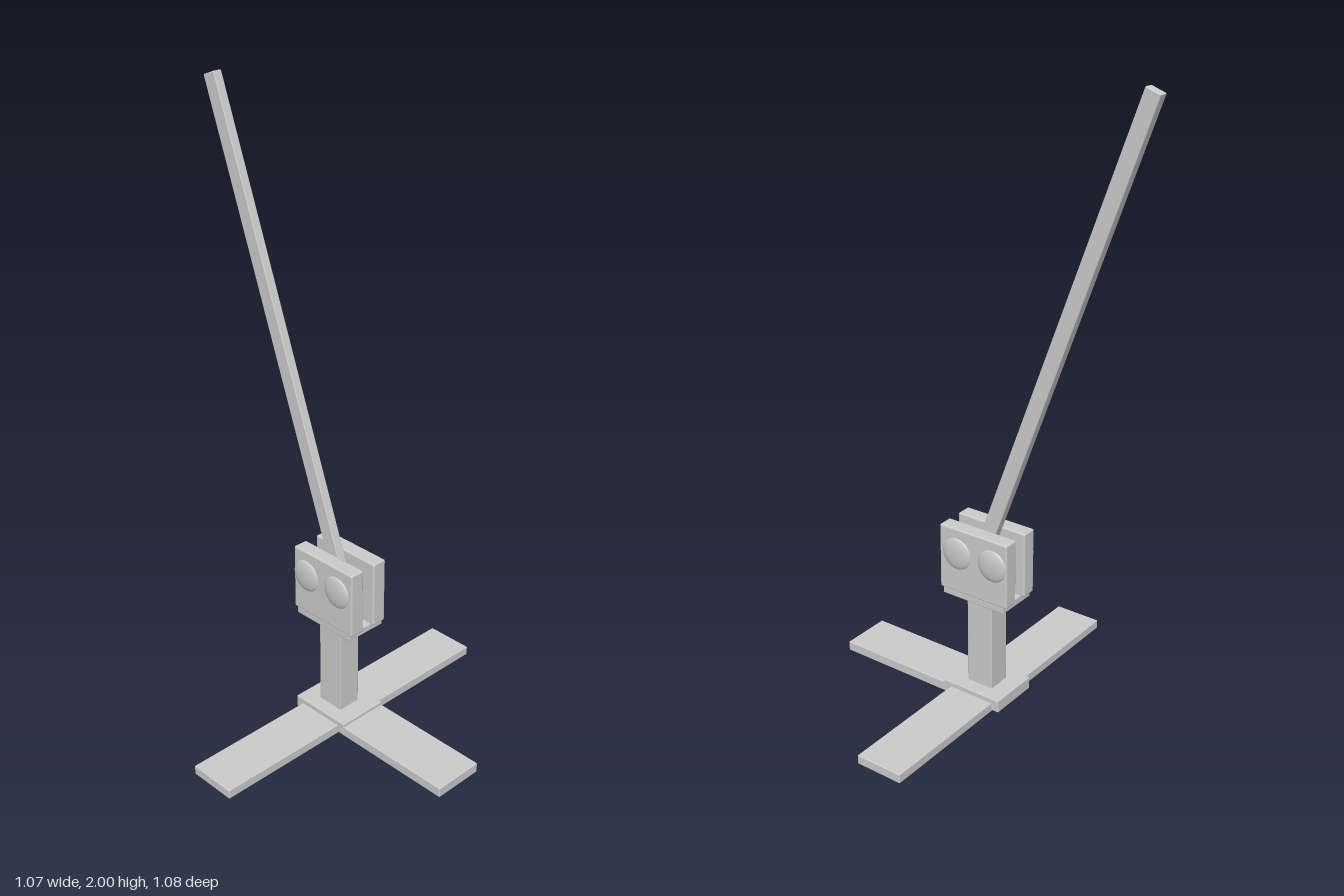
import * as THREE from 'three';
import { RoundedBoxGeometry } from 'three/addons/geometries/RoundedBoxGeometry.js';

export function createModel() {
  const model = new THREE.Group();
  model.name = 'leverStand';
  const grey = new THREE.MeshStandardMaterial({ color: 0xcccccc });

  const add = (name, geometry, x, y, z) => {
    const mesh = new THREE.Mesh(geometry, grey);
    mesh.name = name;
    mesh.position.set(x, y, z);
    model.add(mesh);
    return mesh;
  };

  // Box given by its limits on each axis, with slightly softened edges
  const block = (name, [x0, x1], [y0, y1], [z0, z1], radius = 0.003) =>
    add(name, new RoundedBoxGeometry(x1 - x0, y1 - y0, z1 - z0, 2, radius),
      (x0 + x1) / 2, (y0 + y1) / 2, (z0 + z1) / 2);

  // Three flat feet and the plate joining them
  block('frontFoot', [-0.063, 0.1], [0, 0.031], [0.02, 0.54]);
  block('backFoot', [-0.063, 0.1], [0, 0.031], [-0.54, -0.02]);
  block('sideFoot', [0.02, 0.537], [0.004, 0.037], [-0.086, 0.086]);
  block('basePlate', [-0.09, 0.127], [0.006, 0.048], [-0.087, 0.087]);

  // Upright post carrying the bracket
  block('post', [-0.03, 0.065], [0.04, 0.365], [-0.04, 0.04]);
  block('bracketPlate', [-0.098, 0.135], [0.36, 0.384], [-0.072, 0.072]);

  // Two bracket cheeks, each with a pair of domed bolts outside
  for (const side of [1, -1]) {
    const inner = side * 0.022, outer = side * 0.073;
    block('bracketCheek', [-0.11, 0.146], [0.38, 0.6],
      [Math.min(inner, outer), Math.max(inner, outer)], 0.006);
    for (const x of [-0.055, 0.08]) {
      const bolt = add('bolt', new THREE.SphereGeometry(0.054, 28, 16), x, 0.515, side * 0.071);
      bolt.scale.z = 0.24;
    }
  }

  // Long lever leaning to the right, held between the cheeks
  const foot = new THREE.Vector2(0.046, 0.463);
  const tip = new THREE.Vector2(-0.513, 1.991);
  const lever = add('lever', new RoundedBoxGeometry(0.05, foot.distanceTo(tip), 0.03, 2, 0.003),
    (foot.x + tip.x) / 2, (foot.y + tip.y) / 2, 0);
  lever.rotation.z = Math.atan2(foot.x - tip.x, tip.y - foot.y);

  return model;
}
